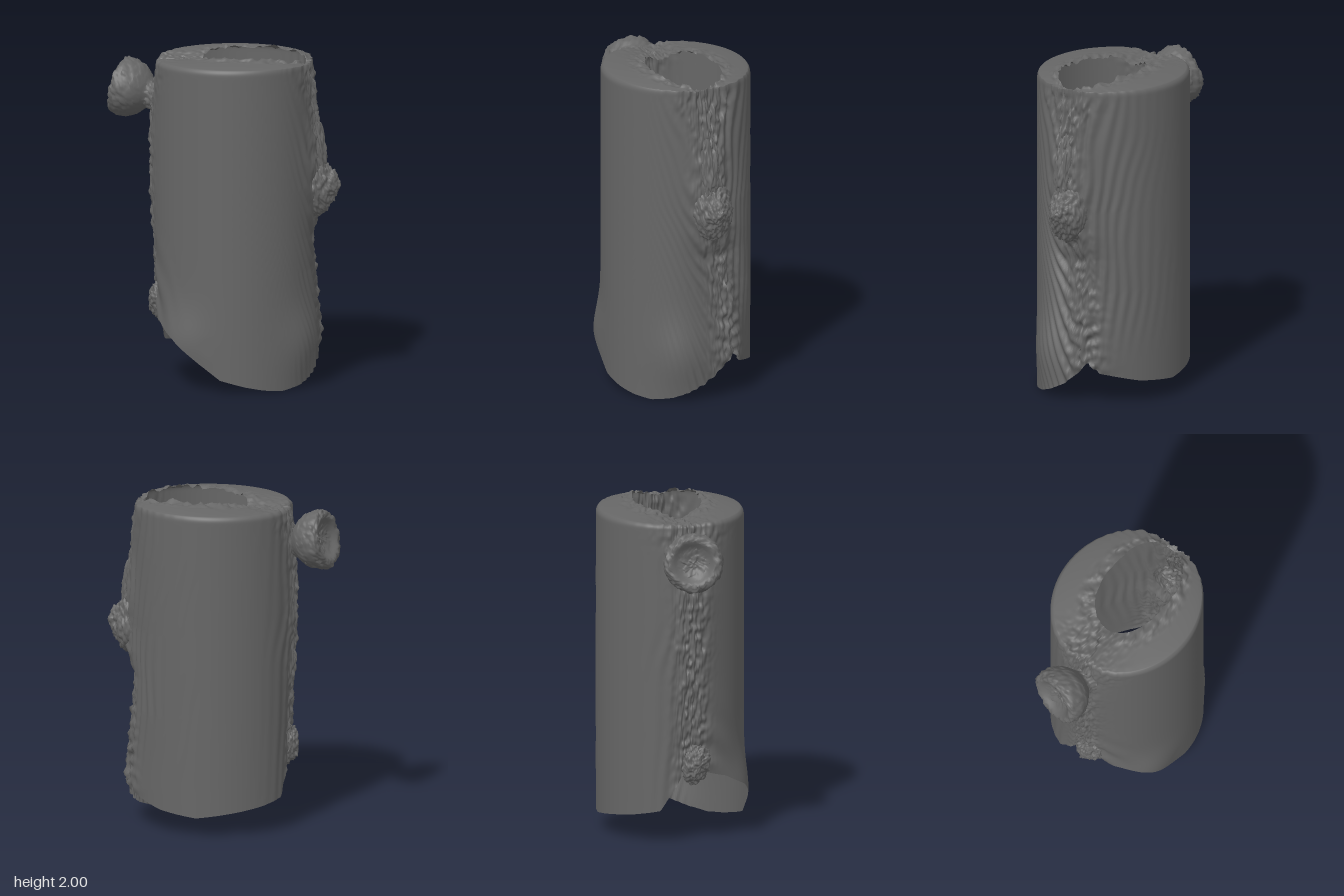
import * as THREE from 'three';

const PI = Math.PI;
const { lerp, clamp, smoothstep, radToDeg } = THREE.MathUtils;

// Linear interpolation through [x, value] pairs
function curveAt(pts, x) {
  if (x <= pts[0][0]) return pts[0][1];
  for (let i = 1; i < pts.length; i++) {
    const [x0, a] = pts[i - 1], [x1, b] = pts[i];
    if (x <= x1) return lerp(a, b, (x - x0) / (x1 - x0));
  }
  return pts[pts.length - 1][1];
}

// Seeded value noise in 3D, about -1..1
const hash = (x, y, z) => {
  const s = Math.sin(x * 127.1 + y * 311.7 + z * 74.7) * 43758.5453;
  return (s - Math.floor(s)) * 2 - 1;
};
function noise(x, y, z) {
  const i = Math.floor(x), j = Math.floor(y), k = Math.floor(z);
  const f = (t) => t * t * (3 - 2 * t);
  const u = f(x - i), v = f(y - j), w = f(z - k);
  let sum = 0;
  for (let n = 0; n < 8; n++) {
    const a = n & 1, b = (n >> 1) & 1, c = n >> 2;
    sum += hash(i + a, j + b, k + c) * (a ? u : 1 - u) * (b ? v : 1 - v) * (c ? w : 1 - w);
  }
  return sum;
}

// Closed ring surface: nu columns around, nv rows upward, fn(u, v) -> Vector3
function ringSurface(nu, nv, fn) {
  const pos = [], index = [];
  for (let j = 0; j <= nv; j++)
    for (let i = 0; i < nu; i++) pos.push(...fn(i / nu, j / nv).toArray());
  for (let j = 0; j < nv; j++)
    for (let i = 0; i < nu; i++) {
      const a = j * nu + i, b = j * nu + (i + 1) % nu, c = a + nu, d = b + nu;
      index.push(a, c, b, b, c, d);
    }
  const g = new THREE.BufferGeometry();
  g.setAttribute('position', new THREE.Float32BufferAttribute(pos, 3));
  g.setIndex(index);
  g.computeVertexNormals();
  return g;
}

// Hem height by angle in degrees (0 = +x, 90 = front), with a notch at each gather
const hem = [[-180, 0.44], [-172, 0.34], [-160, 0.2], [-140, 0.17], [-90, 0.11], [-60, 0.14], [-30, 0.2], [-21, 0.27],
  [-14, 0.2], [0, 0.11], [14, 0.055], [27, 0.02], [43, 0], [58, 0.012], [72, 0.035], [90, 0.075], [105, 0.17], [125, 0.31], [145, 0.39], [165, 0.43], [180, 0.44]];
// Swelling of the two gathers by height
const leftSwell = [[0.04, 0], [0.25, 0.035], [0.6, 0.01], [0.9, -0.02], [1.05, 0.035], [1.35, 0.055], [1.6, 0.02], [1.75, 0], [1.93, -0.03]];
const rightSwell = [[0.2, -0.04], [0.5, -0.03], [0.8, -0.01], [1.2, 0.015], [1.5, 0.02], [1.75, 0], [1.93, -0.03]];
const leftSeam = [[0.2, -0.36], [0.7, -0.29], [1.2, -0.07], [1.9, -0.02]];

const wrap = (a) => Math.atan2(Math.sin(a), Math.cos(a));
const bell = (d, w) => Math.exp(-d * d / (w * w));

// Strength and phase of the hanging folds at distance a from a gather
const folds = {
  leftFront: (a, y) => [0.016 * (1 - 0.6 * smoothstep(y, 0.6, 1.5)) * bell(a, 0.6), 36 * (y - 1.3 * a * a)],
  leftBack: (a, y) => [0.011 * smoothstep(y, 0.2, 0.8) * bell(a, 0.75), 18 * y - 40 * a],
  rightFront: (a, y) => [0.012 * (1 - smoothstep(y, 0.5, 1)) * bell(a, 0.5), 26 * (y + 0.5 * a)],
  rightBack: (a, y) => [0.005 * bell(a, 0.5), 5 * y + 36 * a],
};

// Point on the draped wall at angle t and height y
function wallPoint(t, y) {
  const dl = wrap(t - curveAt(leftSeam, y)), dr = wrap(t - PI + 0.1);
  let r = curveAt(leftSwell, y) * bell(dl, 0.3) + curveAt(rightSwell, y) * bell(dr, 0.3);
  const sides = [
    [dl, dl > 0 ? folds.leftFront : folds.leftBack, 1],
    [dr, dr < 0 ? folds.rightFront : folds.rightBack, 5],
  ];
  for (const [d, fold, seed] of sides) {
    const a = Math.abs(d);
    const [amp, phase] = fold(a, y);
    r += amp * smoothstep(a, 0.05, 0.3) * Math.sin(phase + 3 * noise(a * 3, y * 3, seed));
    // Fine crumpling within the gather, wider at the top, ribbed near the hem
    const gather = bell(a, 0.2 + 0.18 * smoothstep(y, 1.65, 1.9));
    r += gather * (0.016 * noise(d * 22 + seed, y * 32, seed) + 0.013 * noise(d * 55, y * 15, seed + 3));
    r += gather * 0.008 * (1 - smoothstep(y, 0.5, 0.8)) * Math.sin(y * 85 + 3 * noise(d * 8, y * 6, seed));
  }
  // Lower flare of both panels
  r += 0.045 * bell(y - 0.27, 0.2) * (bell(wrap(t - 2.15), 0.35) + 0.8 * bell(wrap(t - 0.35), 0.35));
  const x = 0.05 + (0.48 + r) * Math.cos(t);
  const z = (0.438 + r) * Math.sin(t);
  return new THREE.Vector3(x, y, clamp(z, -0.442, 0.442));
}

// Wall, rounded shoulder and flat top down to the oval opening, in one surface
function drapePoint(u, v) {
  const s = u * 2 * PI, t = s - 0.34 * Math.sin(2 * s);
  const split = 0.78, top = 1.9;
  const h = curveAt(hem, radToDeg(wrap(t)));
  if (v <= split) return wallPoint(t, h + (top - h) * v / split);
  const w = (v - split) / (1 - split);
  const p = wallPoint(t, top);
  const c = Math.cos(t), n = Math.sin(t);
  const hx = 0.165 + 0.315 * Math.sign(c) * Math.abs(c) ** 0.85;
  const hz = 0.2 * Math.sign(n) * Math.abs(n) ** 0.85;
  const k = 1 - Math.max(0, Math.cos(w * PI / 2)) ** 0.9;
  const x = lerp(p.x, hx, k), z = lerp(p.z, hz, k);
  const rise = 0.04 * Math.min(1, Math.sqrt(w * 4)) + 0.04 * w * Math.abs(n) - 0.02 * w * bell(n, 0.3);
  const edge = Math.max(smoothstep(w, 0.7, 0.95), bell(wrap(t - PI), 0.45), bell(wrap(t), 0.35));
  const crumple = w ** 0.5 * edge * 0.014 * (noise(x * 26, z * 55, 2) + 0.6 * noise(x * 55, z * 30, 8));
  return new THREE.Vector3(x, top + rise + crumple, z + crumple * 0.5);
}

// Crumpled gathered bunch, turned from a [radius, height] profile along +y
function bunch(profile, seed) {
  const amp = 0.009, freq = 60;
  const path = new THREE.CatmullRomCurve3(profile.map(([r, h]) => new THREE.Vector3(r, h, 0)));
  return ringSurface(84, 52, (u, v) => {
    const q = path.getPoint(v), a = u * 2 * PI;
    const r = Math.max(q.x, 0);
    const p = new THREE.Vector3(r * Math.cos(a), q.y, r * Math.sin(a));
    const m = noise(p.x * freq + seed, p.y * freq, p.z * freq) + 0.6 * noise(p.x * freq * 2, p.y * freq * 2 + seed, p.z * freq * 2);
    const f = 1 + amp * m / Math.max(r, 0.06);
    return new THREE.Vector3(p.x * f, p.y + amp * m * 0.8, p.z * f);
  });
}

export function createModel() {
  const group = new THREE.Group();
  group.name = 'drapedCloth';
  const cloth = new THREE.MeshStandardMaterial({ color: 0x666666, side: THREE.DoubleSide });

  const add = (name, geometry) => {
    const mesh = new THREE.Mesh(geometry, cloth);
    mesh.name = name;
    group.add(mesh);
    return mesh;
  };
  const place = (mesh, at, axis, scale = [1, 1, 1]) => {
    mesh.position.set(...at);
    mesh.quaternion.setFromUnitVectors(new THREE.Vector3(0, 1, 0), new THREE.Vector3(...axis).normalize());
    mesh.scale.set(...scale);
  };

  add('drapedBody', ringSurface(280, 170, drapePoint));

  // Cupped rosette on a short neck at the upper right
  const cup = [[0.1, -0.03], [0.085, 0.02], [0.115, 0.05], [0.15, 0.09], [0.172, 0.15], [0.168, 0.215], [0.135, 0.23], [0.09, 0.2], [0.04, 0.185], [0, 0.18]];
  place(add('upperRosette', bunch(cup, 3)), [-0.43, 1.715, 0.045], [-1, 0.2, -0.2]);

  // Pointed bunch on the left gather
  const cone = [[0.13, -0.04], [0.132, 0], [0.115, 0.045], [0.08, 0.085], [0.04, 0.13], [0, 0.16]];
  place(add('sideBunch', bunch(cone, 7)), [0.535, 1.19, -0.035], [1, 0.1, 0], [1.4, 1, 0.92]);

  // Narrow ridge running up from the side bunch
  const ridge = [[0.065, -0.01], [0.062, 0.015], [0.05, 0.035], [0.028, 0.05], [0, 0.055]];
  place(add('gatherRidge', bunch(ridge, 11)), [0.535, 1.48, -0.01], [1, 0.2, 0], [3.6, 1, 0.9]);

  // Small knot where the lower right gather ends
  const knot = [[0.085, -0.04], [0.09, 0], [0.075, 0.03], [0.045, 0.055], [0, 0.065]];
  place(add('lowerKnot', bunch(knot, 17)), [-0.385, 0.48, 0.07], [-1, 0, 0.3], [1.35, 1, 1]);

  return group;
}
